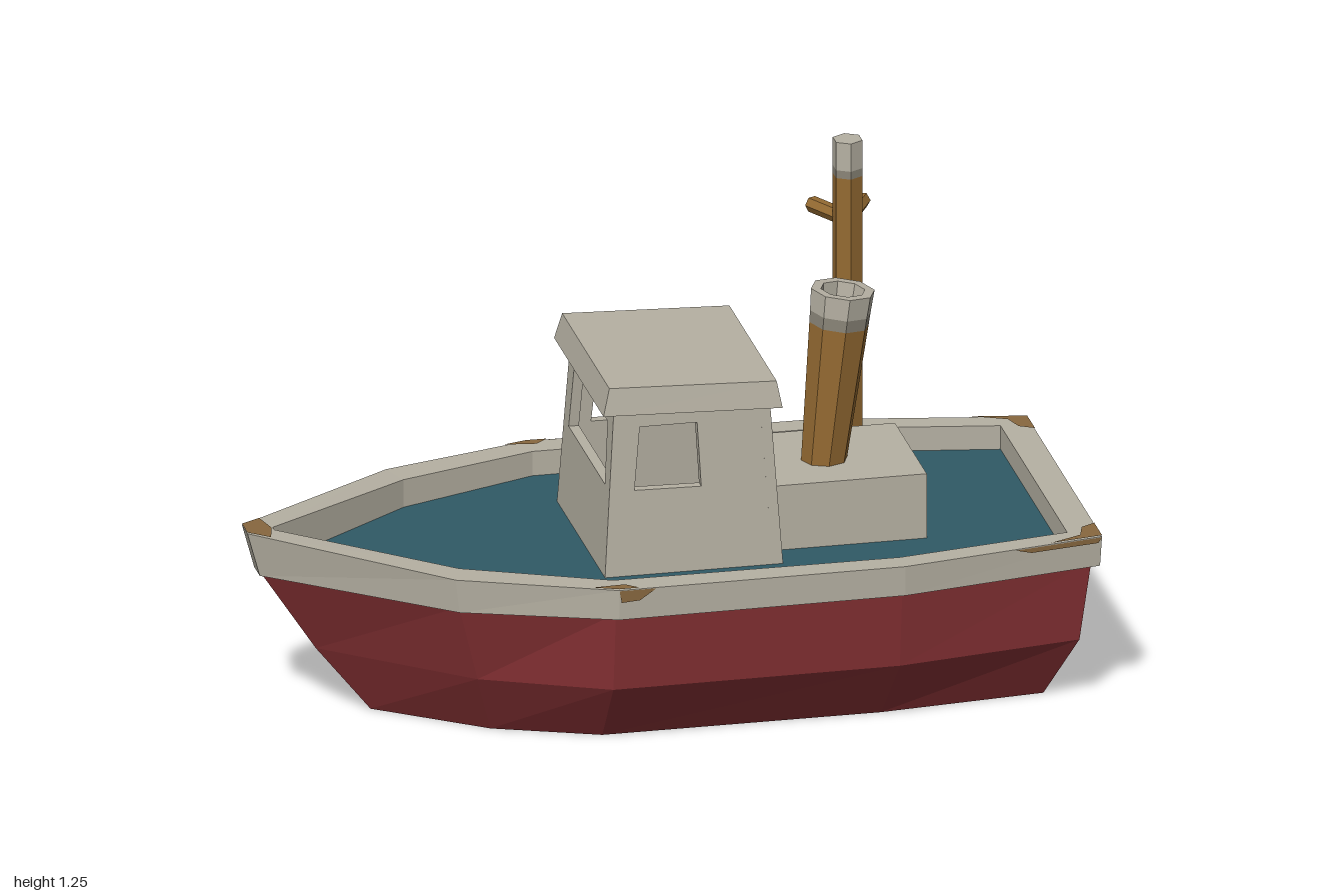
import * as THREE from 'three';

const mat = (name, color, side = THREE.FrontSide) =>
  Object.assign(new THREE.MeshStandardMaterial({ color, flatShading: true, side }), { name });

export function createModel() {
  const boat = new THREE.Group();
  boat.name = 'boat';
  const red = mat('hullRed', 0x883235);
  const cream = mat('weatheredCream', 0xb6b1a3);
  const teal = mat('deckTeal', 0x305a66);
  const ochre = mat('ochre', 0x946a32);
  const grey = mat('wornGrey', 0x8a8578);
  const rust = mat('wornWood', 0x88683f, THREE.DoubleSide);
  const dark = mat('cabinLining', 0x574838);

  function add(name, geometry, material, parent = boat) {
    const mesh = new THREE.Mesh(geometry, material);
    mesh.name = name;
    parent.add(mesh);
    return mesh;
  }

  // Skin between rings of [x, y, z] points, with optional fan caps
  function loft(rings, capBottom, capTop) {
    const n = rings[0].length, index = [];
    for (let i = 0; i < rings.length - 1; i++) {
      for (let j = 0; j < n; j++) {
        const k = (j + 1) % n, a = i * n, b = a + n;
        index.push(a + j, a + k, b + k, a + j, b + k, b + j);
      }
    }
    const last = (rings.length - 1) * n;
    for (let j = 1; j < n - 1; j++) {
      if (capBottom) index.push(0, j + 1, j);
      if (capTop) index.push(last, last + j, last + j + 1);
    }
    const g = new THREE.BufferGeometry();
    g.setAttribute('position', new THREE.Float32BufferAttribute(rings.flat(2), 3));
    g.setIndex(index);
    const flat = g.toNonIndexed();
    flat.computeVertexNormals();
    return flat;
  }

  // Half outline of [x, z], bow to stern, mirrored into a full ring
  const ring = (half, y) => {
    const at = typeof y === 'function' ? y : () => y;
    const left = half.map(([x, z]) => [x, at(x), z]);
    const right = half.map(([x, z]) => [x, at(x), -z]).reverse();
    return [...left, ...right];
  };

  // Linear interpolation along a list of [x, value]
  const along = (pts, x) => {
    for (let i = 0; i < pts.length - 1; i++) {
      const [[x0, v0], [x1, v1]] = [pts[i], pts[i + 1]];
      if (x <= x1) return v0 + (v1 - v0) * (x - x0) / (x1 - x0);
    }
    return pts[pts.length - 1][1];
  };

  // Hull
  const sheer = [[-0.965, 0.02], [-0.555, 0.345], [-0.2, 0.468], [0.5, 0.462], [0.98, 0.378]];
  const bilge = [[-0.83, 0.015], [-0.5, 0.3], [-0.2, 0.44], [0.5, 0.435], [0.955, 0.36]];
  const keel = [[-0.7, 0.03], [-0.45, 0.22], [-0.2, 0.32], [0.48, 0.32], [0.885, 0.28]];
  add('hull', loft([ring(keel, 0), ring(bilge, 0.16), ring(sheer, 0.365)], true, false), red);

  // Bulwark rail and deck
  const outer = [[-1, 0.03], [-0.57, 0.375], [-0.2, 0.505], [0.5, 0.498], [1, 0.405]];
  const lower = [[-0.97, 0.03], [-0.56, 0.372], [-0.2, 0.503], [0.5, 0.496], [0.995, 0.405]];
  const inner = [[-0.93, 0.008], [-0.545, 0.3], [-0.2, 0.435], [0.5, 0.435], [0.925, 0.36]];
  const railTop = x => along([[-1, 0.472], [-0.57, 0.447], [-0.2, 0.438], [1, 0.436]], x);
  const foot = ring(lower, 0.362);
  add('bulwarkRail', loft([foot, ring(outer, railTop), ring(inner, railTop), ring(inner, 0.365), foot]), cream);
  add('deck', loft([ring(inner, 0.37), ring(inner, 0.376)], false, true), teal);

  // Worn patches: on top of the rail, and on its outer faces
  function topPatch(points) {
    const g = new THREE.ShapeGeometry(new THREE.Shape(points.map(p => new THREE.Vector2(...p))));
    const p = g.attributes.position;
    for (let i = 0; i < p.count; i++) {
      p.setXYZ(i, p.getX(i), railTop(p.getX(i)) + 0.003, p.getY(i));
    }
    g.computeVertexNormals();
    add('railTopPatch', g, rust);
  }
  function sidePatch(points, s) {
    const g = new THREE.ShapeGeometry(new THREE.Shape(points.map(p => new THREE.Vector2(...p))));
    const p = g.attributes.position;
    for (let i = 0; i < p.count; i++) p.setZ(i, s * (along(outer, p.getX(i)) + 0.003));
    g.computeVertexNormals();
    add('railSidePatch', g, rust);
  }
  topPatch([[-1, -0.03], [-0.95, -0.065], [-0.935, 0], [-0.95, 0.065], [-1, 0.03]]);
  for (const s of [1, -1]) {
    topPatch([[-0.26, s * 0.483], [-0.2, s * 0.504], [-0.15, s * 0.503], [-0.18, s * 0.475]]);
    topPatch([[0.87, s * 0.428], [1, s * 0.404], [1, s * 0.32], [0.965, s * 0.34], [0.95, s * 0.39]]);
    sidePatch([[-0.2, 0.437], [-0.195, 0.407], [-0.15, 0.41], [-0.11, 0.437]], s);
    sidePatch([[0.78, 0.435], [0.82, 0.423], [0.99, 0.422], [0.999, 0.435]], s);
  }

  // Cabin walls: leaning trapezoids with optional window openings
  const cabin = new THREE.Group();
  cabin.name = 'cabin';
  boat.add(cabin);
  const y0 = 0.37, y1 = 0.79, cx = 0.0375;
  function wall(name, bottom, top, lean, angle, x, z, hole, material = cream, thick = 0.025) {
    const shape = new THREE.Shape([[-bottom, y0], [bottom, y0], [top, y1], [-top, y1]]
      .map(p => new THREE.Vector2(...p)));
    if (hole) shape.holes.push(new THREE.Path(hole.map(p => new THREE.Vector2(...p))));
    const g = new THREE.ExtrudeGeometry(shape, { depth: thick, bevelEnabled: false });
    const p = g.attributes.position;
    for (let i = 0; i < p.count; i++) p.setZ(i, p.getZ(i) - thick - lean * (p.getY(i) - y0));
    g.computeVertexNormals();
    g.rotateY(angle).translate(x, 0, z);
    add(name, g, material, cabin);
  }
  const sideWindow = s => [[-0.105, 0.588], [0.058, 0.585], [0.05, 0.745], [-0.09, 0.745]]
    .map(([x, y]) => [s * (x - cx), y]);
  const frontWindow = [[-0.195, 0.59], [0.195, 0.59], [0.18, 0.745], [-0.18, 0.745]];
  wall('cabinLeftWall', 0.2175, 0.19, 0.06, 0, cx, 0.26, sideWindow(1));
  wall('cabinRightWall', 0.2175, 0.19, 0.06, Math.PI, cx, -0.26, sideWindow(-1));
  wall('cabinBowWall', 0.26, 0.235, 0.065, -Math.PI / 2, -0.18, 0, frontWindow);
  wall('cabinSternWall', 0.26, 0.235, 0.065, Math.PI / 2, 0.255, 0);
  wall('cabinLining', 0.234, 0.209, 0.065, Math.PI / 2, 0.2295, 0, null, dark, 0.004);

  // Roof, sloping slightly towards the stern
  const roofRing = (x0, x1, z, ya, yb) => [[x0, ya, z], [x1, yb, z], [x1, yb, -z], [x0, ya, -z]];
  add('cabinRoof', loft([
    roofRing(-0.185, 0.252, 0.267, 0.79, 0.776),
    roofRing(-0.168, 0.24, 0.255, 0.856, 0.841),
  ], true, true), cream, cabin);

  // Engine casing
  add('engineCasing', new THREE.BoxGeometry(0.385, 0.17, 0.344).translate(0.4325, 0.455, 0), cream);

  // Raked hollow funnel
  const funnel = new THREE.Group();
  funnel.name = 'funnel';
  funnel.position.set(0.408, 0.53, 0.018);
  funnel.rotation.z = -0.107;
  boat.add(funnel);
  const turned = (name, pts, material) =>
    add(name, new THREE.LatheGeometry(pts.map(p => new THREE.Vector2(...p)), 8), material, funnel);
  turned('funnelBody', [[0.055, -0.01], [0.073, 0.355]], ochre);
  turned('funnelWornBand', [[0.073, 0.355], [0.0745, 0.385]], grey);
  turned('funnelRim', [[0.0745, 0.385], [0.078, 0.44], [0.054, 0.44], [0.048, 0.37]], cream);
  turned('funnelInside', [[0.048, 0.37], [0, 0.37]], grey);

  // Mast with pale tip and two short pegs
  const mast = new THREE.Group();
  mast.name = 'mast';
  mast.position.set(0.526, 0, -0.245);
  boat.add(mast);
  for (const [name, a, b, m] of [['mastPole', 0.37, 1.155, ochre], ['mastWornBand', 1.155, 1.175, grey],
    ['mastTip', 1.175, 1.246, cream]]) {
    add(name, new THREE.CylinderGeometry(0.037, 0.037, b - a, 6).translate(0, (a + b) / 2, 0), m, mast);
  }
  for (const s of [1, -1]) {
    const peg = add('mastPeg', new THREE.CylinderGeometry(0.02, 0.02, 0.13, 6).translate(0, 0.065, 0), ochre, mast);
    peg.position.y = 1.042;
    peg.quaternion.setFromUnitVectors(new THREE.Vector3(0, 1, 0), new THREE.Vector3(s * 0.06, 0, -0.11).normalize());
  }
  return boat;
}
